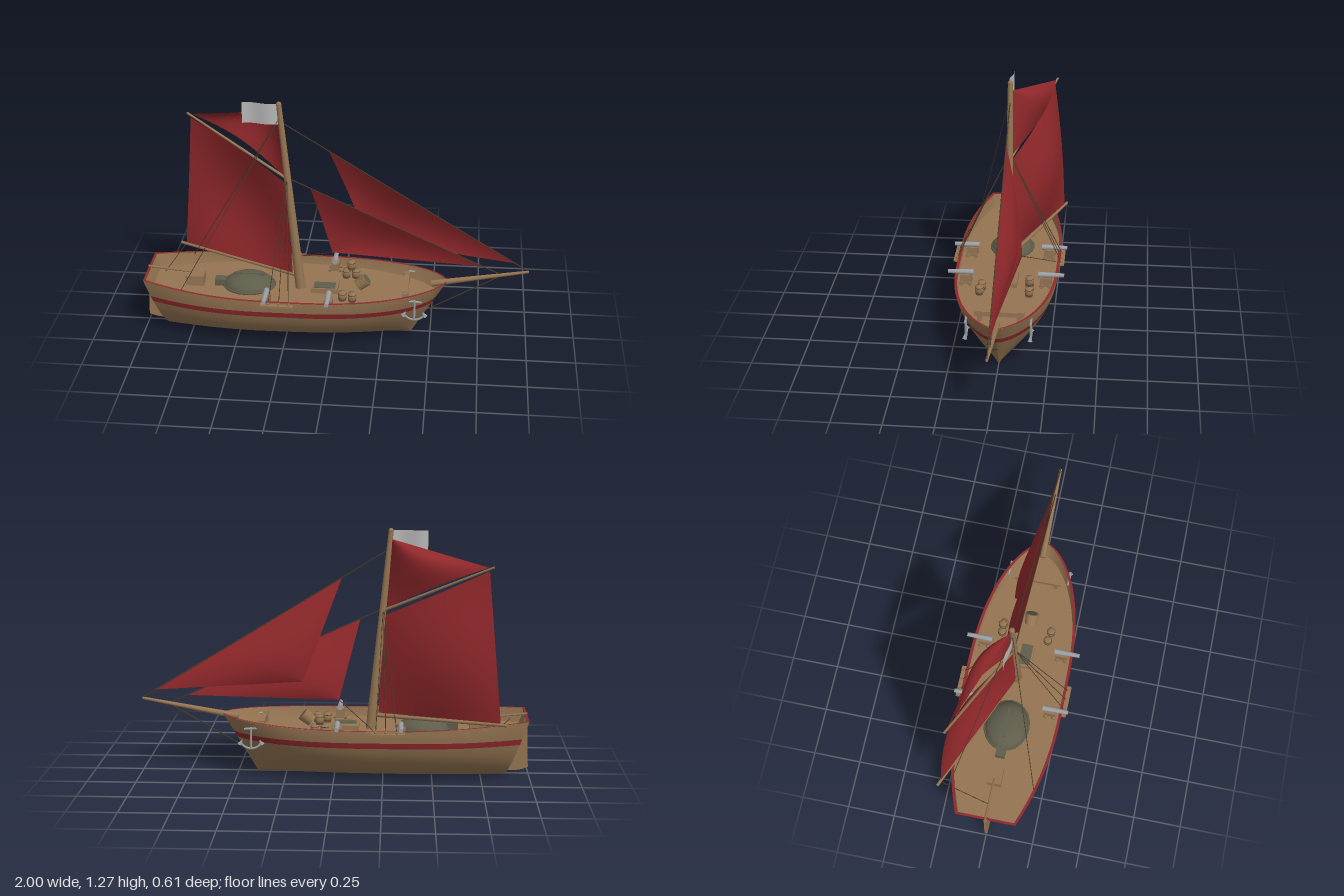
import * as THREE from 'three';

const mat = (name, color, side = THREE.FrontSide) => {
  const m = new THREE.MeshStandardMaterial({ color, side });
  m.name = name;
  return m;
};
const V = (x, y, z = 0) => new THREE.Vector3(x, y, z);
const { lerp } = THREE.MathUtils;
const { sin, PI } = Math;
const DECK = 0.232;

export function createModel() {
  const wood = mat('wood', 0x957552, THREE.DoubleSide);
  const red = mat('red', 0x91282b, THREE.DoubleSide);
  const rope = mat('rope', 0x4a3d2a);
  const olive = mat('olive', 0x5f5d4b);
  const iron = mat('iron', 0x9a9ea2);
  const flagGrey = mat('flagGrey', 0xb8b8b8, THREE.DoubleSide);
  const ship = new THREE.Group();
  ship.name = 'sailingShip';

  const add = (name, geo, material, pos, parent = ship) => {
    const m = new THREE.Mesh(geo, material);
    m.name = name;
    if (pos) m.position.copy(pos);
    parent.add(m);
    return m;
  };
  // Box standing on height y
  const box = (name, w, h, d, material, x, y, z) => add(name, new THREE.BoxGeometry(w, h, d), material, V(x, y + h / 2, z));
  // Tapered round bar from a to b
  const rod = (name, a, b, r1, r2, material, sides = 10, parent = ship) => {
    const d = b.clone().sub(a);
    const m = add(name, new THREE.CylinderGeometry(r2, r1, d.length(), sides), material, a.clone().lerp(b, 0.5), parent);
    m.quaternion.setFromUnitVectors(V(0, 1, 0), d.normalize());
    return m;
  };
  const line = (name, a, b, r = 0.002) => rod(name, a, b, r, r, rope, 5);
  // Grid surface from a rule f(u, v) -> point
  const surface = (name, f, nu, nv, material) => {
    const g = new THREE.PlaneGeometry(1, 1, nu, nv);
    const p = g.attributes.position;
    for (let i = 0; i < p.count; i++) {
      const q = f(p.getX(i) + 0.5, p.getY(i) + 0.5);
      p.setXYZ(i, q.x, q.y, q.z);
    }
    g.computeVertexNormals();
    return add(name, g, material);
  };

  // Hull shape rules: u runs stern to bow, y is height
  const sheer = u => 0.28 + 0.115 * (u - 0.52) ** 2;
  const beam = u => u < 0.4
    ? 0.155 + 0.115 * (1 - (1 - u / 0.4) ** 2.2)
    : 0.27 * Math.max(0, 1 - Math.max(0, (u - 0.5) / 0.5) ** 2.6) ** 0.62;
  const hullX = (u, y) => lerp(-0.875 - 0.36 * y, 0.4 + 0.59 * y, u);
  const halfWidth = (u, y) => {
    const p = lerp(2.1, 1.6, u ** 3);
    const v = Math.min(1, y / sheer(u));
    return beam(u) * Math.max(0, 1 - (1 - v) ** p) ** (1 / p);
  };
  const hullPoint = (u, y, s) => V(hullX(u, y), y, s * halfWidth(u, y));
  const ease = u => 1 - (1 - u) ** 1.6;

  // Hull bands: planking, painted stripe, topsides, on both sides and the transom
  const bands = [
    ['bottomPlanking', () => 0, () => 0.19, wood, 14, 2.2],
    ['paintedStripe', () => 0.19, () => 0.22, red, 2, 1],
    ['topsides', () => 0.22, sheer, wood, 3, 1],
  ];
  for (const [name, lo, hi, m, n, power] of bands) {
    for (const s of [1, -1]) {
      surface(name, (a, v) => {
        const u = ease(a);
        return hullPoint(u, lerp(lo(u), hi(u), v ** power), s);
      }, 44, n, m);
    }
    surface('transom_' + name, (a, v) => hullPoint(0, lerp(lo(0), hi(0), v ** power), 2 * a - 1), 8, n, m);
  }
  surface('deck', (a, v) => hullPoint(ease(a), DECK, 0.985 * (2 * v - 1)), 44, 6, wood);

  // Flat red rail lying on the top edge
  for (const s of [1, -1]) {
    surface('rail', (a, v) => {
      const u = ease(a);
      const p = hullPoint(u, sheer(u), s);
      p.z -= s * Math.min(Math.abs(p.z), lerp(-0.003, 0.012, v));
      p.y += 0.002;
      return p;
    }, 44, 1, red);
  }
  box('sternRail', 0.012, 0.003, 0.31, red, hullX(0, sheer(0)) + 0.005, sheer(0), 0);

  // Rudder and tiller
  const rs = new THREE.Shape();
  rs.moveTo(-0.87, 0.02);
  rs.lineTo(-0.976, 0.29);
  rs.lineTo(-0.99, 0.29);
  rs.lineTo(-0.998, 0.035);
  rs.quadraticCurveTo(-0.94, 0.01, -0.87, 0.02);
  add('rudder', new THREE.ExtrudeGeometry(rs, { depth: 0.016, bevelEnabled: false }), wood, V(0, 0, -0.008));
  rod('tiller', V(-0.99, 0.318), V(-0.76, 0.295), 0.006, 0.005, wood, 6);

  // Spars
  rod('mast', V(-0.184, DECK - 0.01), V(-0.283, 1.255), 0.026, 0.013, wood, 14);
  add('mastCap', new THREE.SphereGeometry(0.014, 12, 8), wood, V(-0.283, 1.257));
  rod('bowsprit', V(0.5, 0.288), V(0.998, 0.38), 0.017, 0.007, wood, 10);
  rod('boom', V(-0.2, 0.302), V(-0.865, 0.323, -0.278), 0.01, 0.008, wood, 8);
  rod('gaff', V(-0.235, 0.845), V(-0.79, 1.105, -0.218), 0.008, 0.006, wood, 8);

  // Sails: four corners plus a billow rule; equal corners make a triangle
  const sail = (name, [a, b, c, d], billow, rise = 0) => surface(name, (u, v) => {
    const p = a.clone().lerp(b, u).lerp(d.clone().lerp(c, u), v);
    const w = billow(u, v);
    p.z -= w;
    p.y += w * rise;
    return p;
  }, 18, 18, red);
  sail('mainsail', [V(-0.225, 0.315), V(-0.835, 0.33, -0.265), V(-0.77, 1.085, -0.205), V(-0.252, 0.825)],
    (u, v) => 0.06 * sin(PI * v) * sin(PI * u) + 0.01 * u * sin(PI * v) + 0.025 * v * sin(PI * u));
  const head = V(-0.29, 1.215, -0.01);
  sail('topsail', [V(-0.265, 0.865, -0.01), V(-0.765, 1.103, -0.21), head, head],
    (u, v) => sin(PI * u) * (0.045 * (1 - v) + 0.055 * sin(PI * v)), 0.4);
  const innerClew = V(-0.025, 0.4, -0.085), outerClew = V(0.16, 0.49, -0.07);
  sail('innerJib', [V(0.765, 0.398), V(-0.13, 0.805), innerClew, innerClew],
    (u, v) => sin(PI * v) * (0.02 * sin(PI * u) + 0.015 * u));
  sail('outerJib', [V(0.935, 0.425), V(-0.035, 1.015), outerClew, outerClew],
    (u, v) => sin(PI * v) * (0.025 * sin(PI * u) + 0.025 * u));

  // Flag
  surface('flag', (u, v) => V(lerp(-0.285, -0.47, u), lerp(1.15, 1.26, v), 0.009 * sin(u * 6)), 12, 1, flagGrey);

  // Standing and running rigging
  line('outerForestay', V(-0.27, 1.16), V(0.995, 0.383), 0.003);
  line('innerForestay', V(-0.25, 0.86), V(0.86, 0.355), 0.003);
  line('bobstay', V(0.86, 0.352), V(0.475, 0.13), 0.003);
  line('mainsheet', V(-0.84, 0.318, -0.266), V(-0.9, 0.29));
  line('jibSheet', innerClew, V(-0.2, 0.285, -0.25));
  for (const s of [1, -1]) {
    line('backstay', V(-0.278, 1.19), V(-0.785, 0.285, 0.213 * s));
    for (const x of [-0.32, -0.265, -0.215]) {
      line('shroud', V(-0.247, 0.88), V(x, 0.275, 0.28 * s));
      add('deadeye', new THREE.SphereGeometry(0.008, 8, 6), wood, V(x, 0.28, 0.28 * s));
    }
    box('channel', 0.17, 0.01, 0.03, wood, -0.275, 0.265, 0.281 * s);
  }

  // Deck guns on carriages
  for (const s of [1, -1]) for (const x of [-0.34, -0.02]) {
    rod('gunBarrel', V(x, 0.298, 0.17 * s), V(x, 0.298, 0.305 * s), 0.015, 0.011, iron, 12);
    box('gunCarriage', 0.045, 0.05, 0.06, wood, x, DECK + 0.006, 0.21 * s);
    for (const dx of [-0.029, 0.029]) for (const z of [0.188, 0.232]) {
      const w = add('carriageWheel', new THREE.CylinderGeometry(0.011, 0.011, 0.01, 10), wood, V(x + dx, DECK + 0.011, z * s));
      w.rotation.z = PI / 2;
    }
  }

  // Upturned boat lashed to the deck
  const boat = new THREE.Group();
  boat.name = 'upturnedBoat';
  boat.position.set(-0.455, DECK, 0);
  ship.add(boat);
  const shell = add('boatShell', new THREE.SphereGeometry(1, 20, 8, 0, PI * 2, 0, PI / 2), olive, null, boat);
  shell.scale.set(0.135, 0.07, 0.115);
  const rim = add('boatRim', new THREE.TorusGeometry(1, 0.06, 6, 20), olive, V(0, 0.008, 0), boat);
  rim.rotation.x = PI / 2;
  rim.scale.set(0.133, 0.115, 0.12);
  add('boatKeel', new THREE.BoxGeometry(0.16, 0.014, 0.012), olive, V(0, 0.065, 0), boat);
  add('boatStern', new THREE.BoxGeometry(0.06, 0.035, 0.05), olive, V(-0.15, 0.0175, 0), boat);

  // Hatches, chest and bow beam
  box('chest', 0.095, 0.055, 0.075, wood, -0.74, DECK, 0);
  box('hatchFrame', 0.14, 0.026, 0.12, wood, -0.055, DECK, 0);
  box('hatchGrating', 0.112, 0.006, 0.06, olive, -0.055, DECK + 0.024, 0.02);
  box('bowBeam', 0.025, 0.025, 0.25, wood, 0.37, 0.262, 0);
  for (const z of [-0.1, 0.1]) box('bowBeamPost', 0.03, 0.06, 0.02, wood, 0.37, DECK, z);

  // Barrels, one of them stacked on two others
  const profile = [[0, -0.025], [0.019, -0.025], [0.0225, 0], [0.019, 0.025], [0, 0.025]].map(p => new THREE.Vector2(...p));
  const barrel = (x, y, z) => {
    const g = new THREE.Group();
    g.name = 'barrel';
    g.position.set(x, y + 0.025, z);
    ship.add(g);
    add('barrelStaves', new THREE.LatheGeometry(profile, 12), wood, null, g);
    for (const h of [-0.014, 0.014]) {
      const hoop = add('barrelHoop', new THREE.TorusGeometry(0.0208, 0.0015, 5, 14), rope, V(0, h, 0), g);
      hoop.rotation.x = PI / 2;
    }
  };
  for (const [x, z] of [[0.046, -0.13], [0.097, -0.13], [0.045, 0.12], [0.097, 0.128]]) barrel(x, DECK, z);
  barrel(0.072, DECK + 0.05, -0.13);

  // Tilted tub leaning on its side, open end forward
  const tub = new THREE.Group();
  tub.name = 'tiltedTub';
  tub.position.set(0.142, 0.283, 0.01);
  tub.rotation.z = -0.85;
  ship.add(tub);
  add('tubStaves', new THREE.CylinderGeometry(0.036, 0.03, 0.06, 14), wood, null, tub);
  add('tubInside', new THREE.CylinderGeometry(0.029, 0.029, 0.004, 14), olive, V(0, 0.0295, 0), tub);

  // Anchors hung at the bow
  for (const s of [1, -1]) {
    const a = new THREE.Group();
    a.name = 'anchor';
    a.position.set(0.42, 0, 0.163 * s);
    ship.add(a);
    rod('shank', V(0, 0.16), V(0, 0.272), 0.006, 0.005, iron, 8, a);
    rod('stock', V(-0.045, 0.267), V(0.035, 0.262), 0.006, 0.006, iron, 8, a);
    const arms = add('arms', new THREE.TorusGeometry(0.06, 0.006, 6, 16, PI * 0.6), iron, V(0, 0.22), a);
    arms.rotation.z = PI * 1.2;
    for (const k of [-1, 1]) {
      const fluke = add('fluke', new THREE.ConeGeometry(0.014, 0.03, 4), iron, V(0.05 * k, 0.194), a);
      fluke.rotation.z = 0.5 * k;
    }
  }
  return ship;
}
